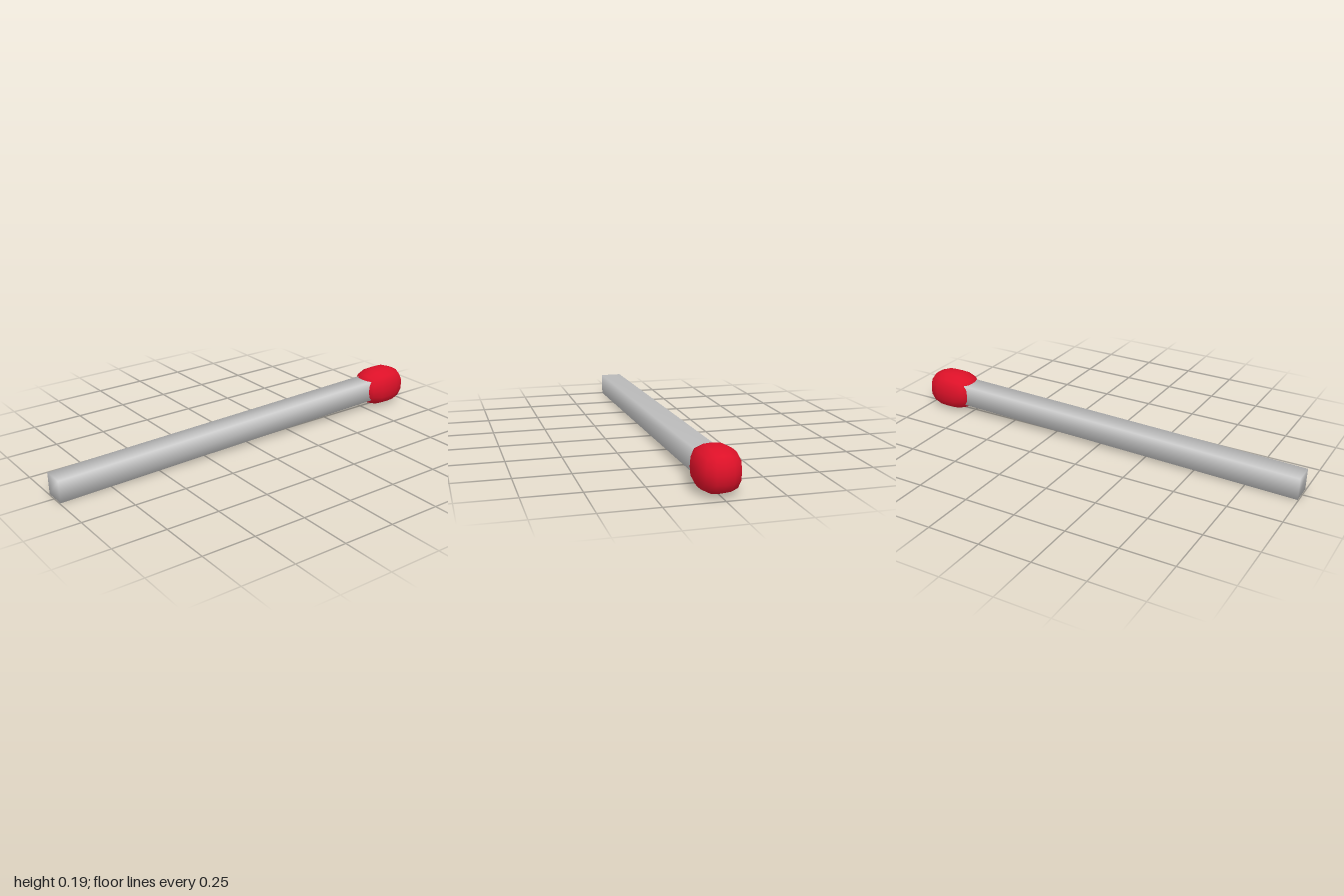
import * as THREE from 'three';
import { mergeVertices } from 'three/addons/utils/BufferGeometryUtils.js';

// Weld a geometry so that normals run smoothly over every edge
function smooth(geometry) {
  geometry.deleteAttribute('normal');
  geometry.deleteAttribute('uv');
  const welded = mergeVertices(geometry, 1e-4);
  welded.computeVertexNormals();
  return welded;
}

// Rounded block: a cube grid pulled onto a superellipsoid
function makeHead(rx, ry, rz, exponent) {
  const geo = new THREE.BoxGeometry(2, 2, 2, 4, 4, 4);
  const pos = geo.attributes.position;
  for (let i = 0; i < pos.count; i++) {
    const p = [pos.getX(i), pos.getY(i), pos.getZ(i)].map(v => Math.tan(v * Math.PI / 4));
    const r = Math.pow(p.reduce((s, v) => s + Math.pow(Math.abs(v), exponent), 0), 1 / exponent);
    pos.setXYZ(i, p[0] / r * rx, p[1] / r * ry, p[2] / r * rz);
  }
  return smooth(geo);
}

export function createModel() {
  const model = new THREE.Group();
  model.name = 'matchstick';

  // Everything tilts about the centre of the head, which rests on the ground
  const match = new THREE.Group();
  match.name = 'tiltedMatch';
  match.position.set(0, 0.095, -0.872);
  match.rotation.x = 0.0229;
  model.add(match);

  // Square wooden stick, its rear end buried in the head
  const length = 1.87;
  const stick = new THREE.Mesh(
    smooth(new THREE.BoxGeometry(0.104, 0.104, length)),
    new THREE.MeshStandardMaterial({ color: 0xcccccc })
  );
  stick.name = 'stick';
  stick.position.z = length / 2;
  match.add(stick);

  // Red ignition head
  const head = new THREE.Mesh(
    makeHead(0.093, 0.093, 0.127, 2.7),
    new THREE.MeshStandardMaterial({ color: 0xdd1128 })
  );
  head.name = 'head';
  match.add(head);

  return model;
}
